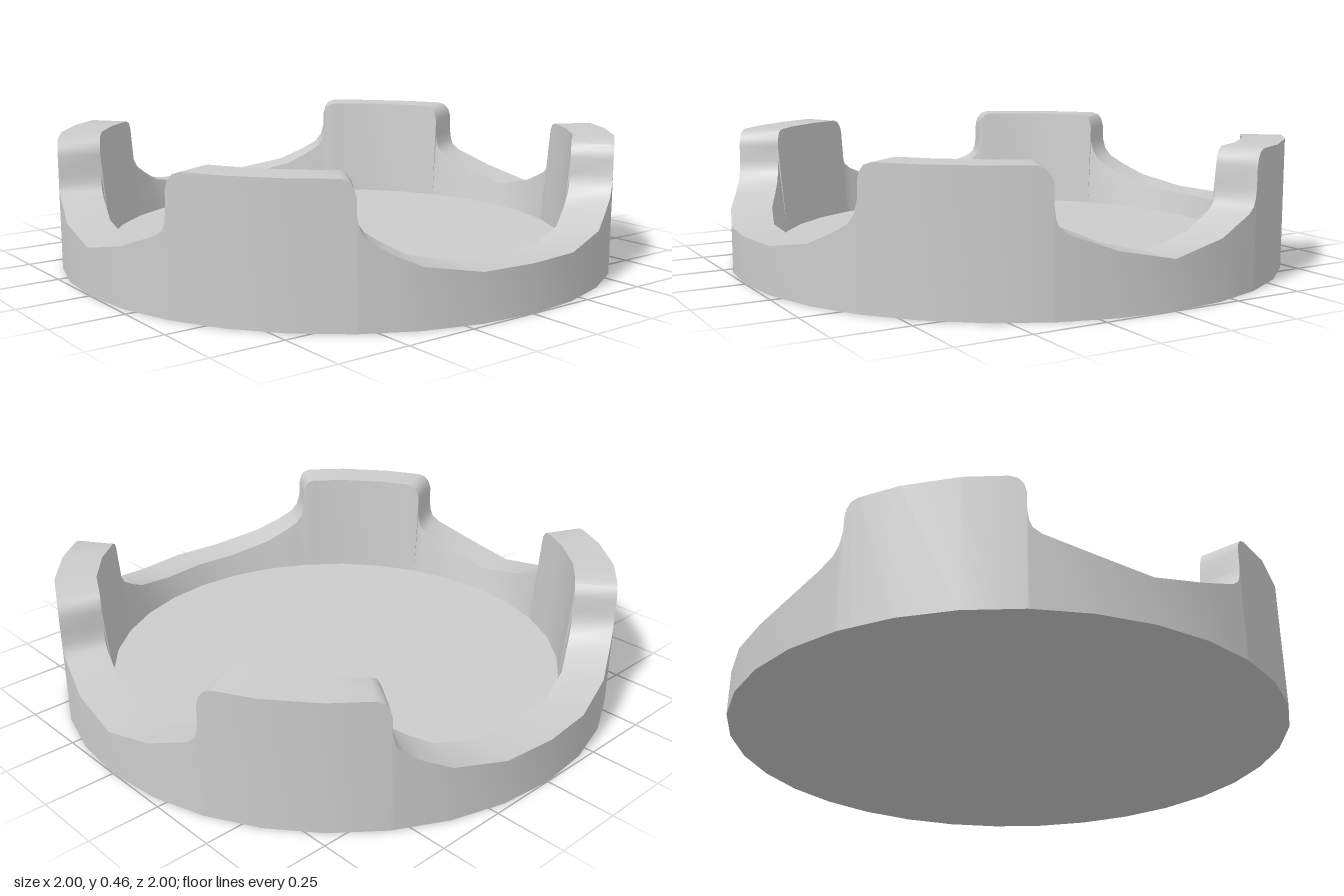
import * as THREE from 'three';
import { toCreasedNormals } from 'three/addons/utils/BufferGeometryUtils.js';

const SIDES = 32, INNER = 0.855, FLOOR_RADIUS = 0.828, FLOOR_Y = 0.075;

// Rim height by angle in degrees, for one quarter from the left side to the front
const QUARTER = [
  [0, 0.16], [11.25, 0.2], [20, 0.255], [21.6, 0.275], [22.2, 0.3], [22.5, 0.335],
  [22.55, 0.4], [23, 0.428], [24, 0.448], [25.5, 0.457], [33.75, 0.457], [45, 0.457],
  [53.5, 0.457], [55, 0.448], [55.8, 0.428], [56.2, 0.4], [56.25, 0.345],
  [57, 0.3], [58.5, 0.268], [62, 0.235], [67.5, 0.193], [78.75, 0.16], [90, 0.16],
];

// Radius of a unit polygon at an angle, so extra points stay on its flat sides
function polygonRadius(deg) {
  const step = 360 / SIDES;
  const offset = (deg % step) - step / 2;
  return Math.cos(Math.PI / SIDES) / Math.cos(THREE.MathUtils.degToRad(offset));
}

// Mirror the quarter into a full turn
function rimStations() {
  const back = [...QUARTER].reverse();
  return [
    ...QUARTER.slice(0, -1),
    ...back.slice(0, -1).map(([a, h]) => [180 - a, h]),
    ...QUARTER.slice(0, -1).map(([a, h]) => [180 + a, h]),
    ...back.slice(0, -1).map(([a, h]) => [360 - a, h]),
  ];
}

// Join neighbouring cross-sections with quads
function skin(sections) {
  const positions = [];
  const tri = new THREE.Triangle();
  const add = (a, b, c) => {
    if (tri.set(a, b, c).getArea() < 1e-9) return;
    for (const p of [a, b, c]) positions.push(p.x, p.y, p.z);
  };
  sections.forEach((s, i) => {
    const n = sections[(i + 1) % sections.length];
    for (let j = 0; j < s.length - 1; j++) {
      add(s[j], s[j + 1], n[j + 1]);
      add(s[j], n[j + 1], n[j]);
    }
  });
  const geometry = new THREE.BufferGeometry();
  geometry.setAttribute('position', new THREE.Float32BufferAttribute(positions, 3));
  return toCreasedNormals(geometry, THREE.MathUtils.degToRad(38));
}

export function createModel() {
  const group = new THREE.Group();
  group.name = 'roundTray';
  const material = new THREE.MeshStandardMaterial({ color: 0xcccccc });

  const parts = { wall: [], floor: [], underside: [] };
  for (const [deg, height] of rimStations()) {
    const a = THREE.MathUtils.degToRad(deg);
    const k = polygonRadius(deg);
    const at = (r, y) => new THREE.Vector3(r * k * Math.cos(a), y, r * k * Math.sin(a));
    const foot = at(1, 0), floorEdge = at(FLOOR_RADIUS, FLOOR_Y);
    parts.wall.push([foot, at(1, height), at(INNER, height), floorEdge]);
    parts.floor.push([floorEdge, at(0, FLOOR_Y)]);
    parts.underside.push([at(0, 0), foot]);
  }

  // Wall with four raised corner tabs, recessed floor and flat underside
  for (const [name, sections] of Object.entries(parts)) {
    const mesh = new THREE.Mesh(skin(sections), material);
    mesh.name = name;
    group.add(mesh);
  }
  return group;
}
